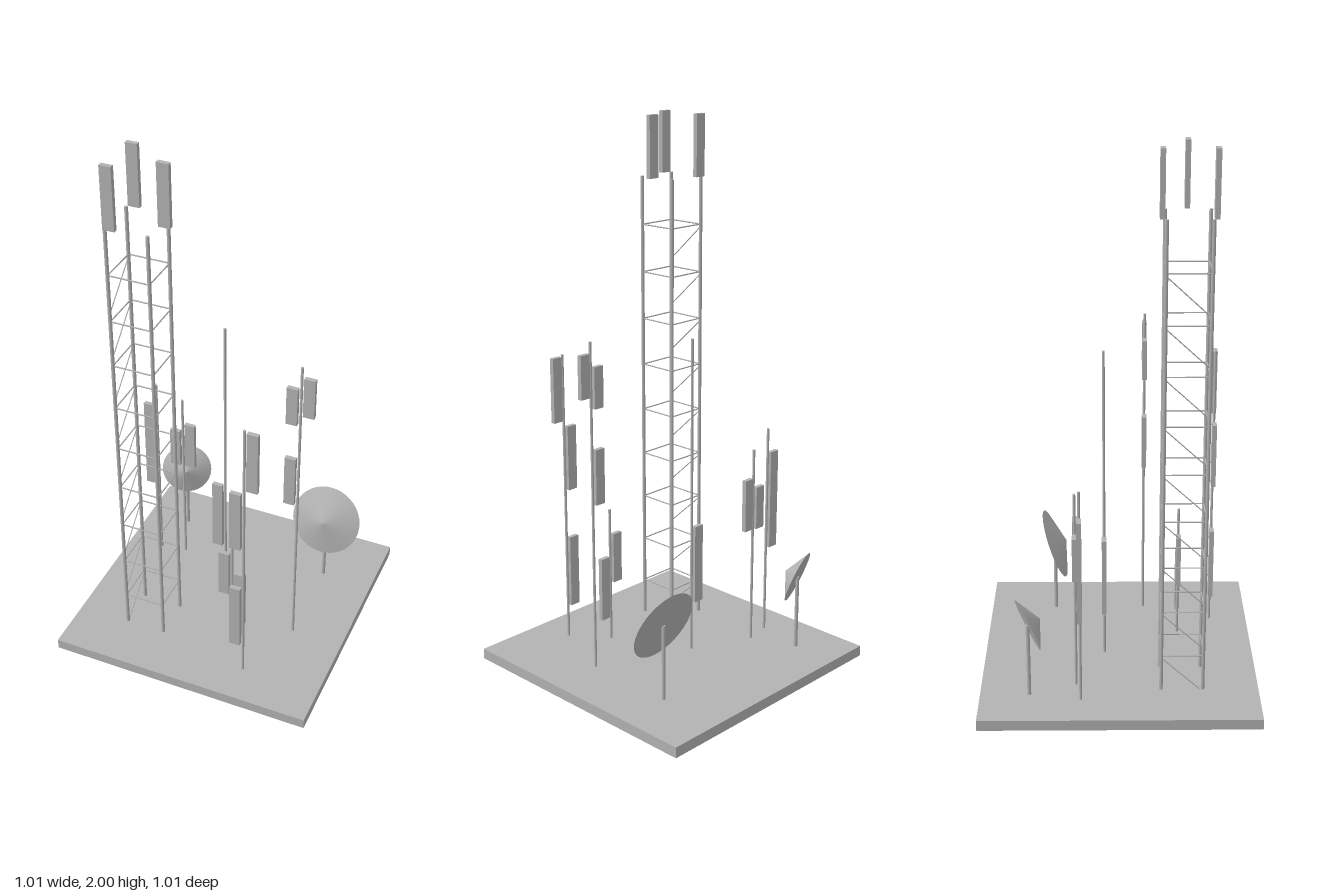
import * as THREE from 'three';

export function createModel() {
  const model = new THREE.Group();
  const grey = new THREE.MeshStandardMaterial({ color: 0xb2b2b2 });
  grey.name = 'light grey';
  const UP = new THREE.Vector3(0, 1, 0);
  const FLOOR = 0.04;

  function add(name, geometry, parent = model) {
    const mesh = new THREE.Mesh(geometry, grey);
    mesh.name = name;
    parent.add(mesh);
    return mesh;
  }

  function box(name, x0, x1, y0, y1, z0, z1, parent) {
    add(name, new THREE.BoxGeometry(x1 - x0, y1 - y0, z1 - z0), parent)
      .position.set((x0 + x1) / 2, (y0 + y1) / 2, (z0 + z1) / 2);
  }

  // Round bar between two points
  function rod(name, a, b, radius, parent, sides = 12) {
    const from = new THREE.Vector3(...a), to = new THREE.Vector3(...b);
    const dir = to.clone().sub(from);
    const bar = add(name, new THREE.CylinderGeometry(radius, radius, dir.length(), sides), parent);
    bar.position.copy(from).add(to).multiplyScalar(0.5);
    bar.quaternion.setFromUnitVectors(UP, dir.normalize());
  }

  box('base', -0.504, 0.504, 0, FLOOR, -0.504, 0.504);

  // Lattice tower
  const tower = new THREE.Group();
  tower.name = 'tower';
  model.add(tower);
  const L = -0.304, R = -0.153, B = 0.15, F = 0.301, TOP = 1.775, STEP = TOP / 10;
  const corners = [[L, B], [R, B], [R, F], [L, F]];
  for (const [x, z] of corners) rod('towerLeg', [x, FLOOR, z], [x, TOP, z], 0.0065, tower);
  for (let k = 1; k < 10; k++) {
    const y = k * STEP;
    corners.forEach(([x, z], i) => {
      const [x2, z2] = corners[(i + 1) % 4];
      rod('towerBrace', [x, y, z], [x2, y, z2], 0.0025, tower, 8);
    });
    // Diagonals on one side only
    const mid = y - STEP / 2 + 0.01;
    rod('towerDiagonal', [L, mid - 0.07, F], [L, mid + 0.07, B], 0.002, tower, 8);
  }
  box('towerAntenna', -0.3, -0.258, TOP, 2, 0.128, 0.145, tower);
  box('towerAntenna', -0.15, -0.107, TOP, 2, 0.215, 0.232, tower);
  box('towerAntenna', -0.302, -0.26, TOP, 2, 0.303, 0.32, tower);

  // Masts: x, z, top, then panels as [side, bottom, top]
  const masts = [
    [-0.369, -0.14, 0.857, [[-1, 0.377, 0.762]]],
    [-0.269, -0.158, 0.802, [[-1, 0.487, 0.652], [1, 0.492, 0.693]]],
    [-0.045, -0.055, 1.247, [[-1, 0.228, 0.53]]],
    [0.104, 0.226, 0.567, [[-1, 0.27, 0.466], [1, 0.132, 0.38]]],
    [0.204, 0.358, 1.16, [[-1, 0.635, 0.884], [-1, 0.165, 0.444], [1, 0.91, 1.154]]],
    [0.304, 0.098, 1.273, [[-1, 1.029, 1.181], [-1, 0.672, 0.879], [1, 1.075, 1.233]]],
  ];
  for (const [x, z, top, panels] of masts) {
    const mast = new THREE.Group();
    mast.name = 'mast';
    model.add(mast);
    rod('mastPole', [x, FLOOR, z], [x, top, z], 0.005, mast);
    for (const [side, y0, y1] of panels) {
      const cx = x + side * 0.031;
      box('panelAntenna', cx - 0.0205, cx + 0.0205, y0, y1, z - 0.0085, z + 0.0085, mast);
    }
  }

  // Dishes: shallow cones pointing forward and up
  function dish(x, y, z, radius, depth, yaw) {
    const group = new THREE.Group();
    group.name = 'dishAntenna';
    model.add(group);
    rod('dishPole', [x, FLOOR, z], [x, y, z], 0.007, group);
    const geometry = new THREE.ConeGeometry(radius, depth, 40)
      .translate(0, depth / 2, 0)
      .rotateX(Math.PI / 2 - 0.35)
      .rotateY(yaw);
    add('dish', geometry, group).position.set(x, y, z);
  }
  dish(0.302, 0.323, -0.25, 0.137, 0.047, 0);
  dish(-0.335, 0.324, -0.326, 0.1, 0.05, 0.36);

  return model;
}
